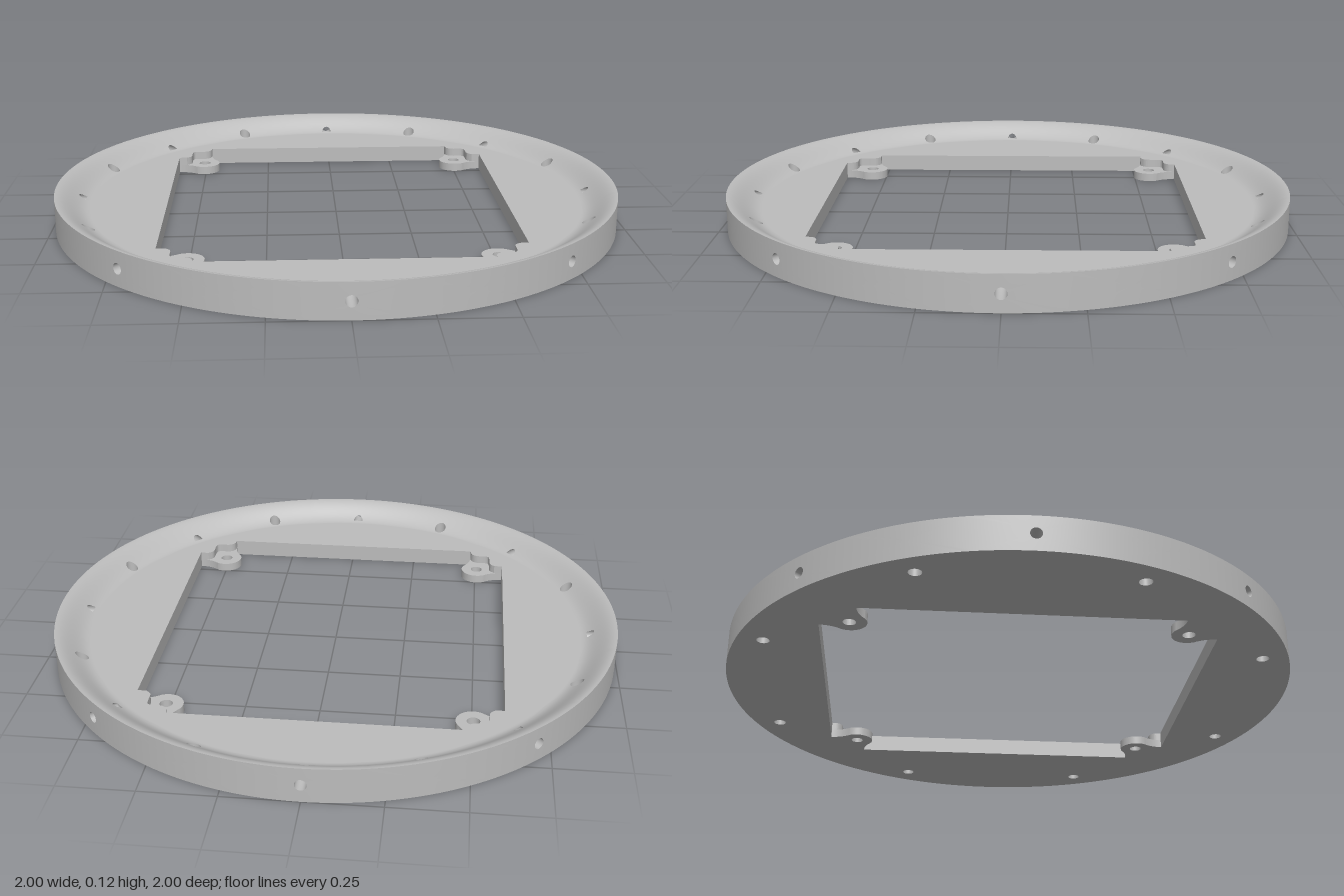
import * as THREE from 'three';
import { mergeGeometries, mergeVertices } from 'three/addons/utils/BufferGeometryUtils.js';

const FLOOR = 0.06, HEIGHT = 0.12, R_IN = 0.88, SECTORS = 16, SIDE = 16;
const PIN_R = 0.019, PIN_END = 0.9, BOLT_R = 0.022, BOLT_AT = 0.914;

// Height of the dished rim at radius r, and its inverse
const rimY = r => FLOOR + (HEIGHT - FLOOR) * THREE.MathUtils.smoothstep(r, R_IN, 1);
function rimR(y) {
  let lo = R_IN, hi = 1;
  for (let i = 0; i < 30; i++) {
    const mid = (lo + hi) / 2;
    if (rimY(mid) < y) lo = mid; else hi = mid;
  }
  return lo;
}

// Points round the edge of a square from -1 to 1, anticlockwise
const square = [];
for (let k = 0; k < 4; k++) {
  for (let i = 0; i < SIDE; i++) {
    const p = new THREE.Vector2(1, -1 + 2 * i / SIDE);
    for (let n = 0; n < k; n++) p.set(-p.y, p.x);
    square.push(p);
  }
}
const angles = square.map(p => Math.atan2(p.y, p.x));

// Surface through closed loops of points
function skin(loops) {
  const n = loops[0].length, index = [];
  for (let i = 0; i < loops.length - 1; i++) {
    for (let j = 0; j < n; j++) {
      const a = i * n + j, b = i * n + (j + 1) % n;
      index.push(a, a + n, b + n, a, b + n, b);
    }
  }
  const g = new THREE.BufferGeometry().setFromPoints(loops.flat());
  g.setIndex(index);
  return g;
}

// Curved patch between a hole outline and its sector's border; u is an angle
function patch(outline, centre, v0, v1, map) {
  const loops = [];
  for (let k = 0; k <= 10; k++) {
    loops.push(square.map((p, j) => {
      const o = outline(angles[j]), t = k / 10;
      const u = THREE.MathUtils.lerp(o[0], p.x * Math.PI / SECTORS, t);
      const v = THREE.MathUtils.lerp(o[1], v0 + (v1 - v0) * (p.y + 1) / 2, t);
      return map(centre + u, v);
    }));
  }
  return skin(loops);
}

function smoothMerge(list) {
  const g = mergeVertices(mergeGeometries(list), 1e-5);
  g.computeVertexNormals();
  return g;
}

const circle = (r, cx = 0, cy = 0, n = 32) => Array.from({ length: n }, (_, i) => {
  const a = i / n * Math.PI * 2;
  return new THREE.Vector2(cx + r * Math.cos(a), cy + r * Math.sin(a));
});

function plate(shape, depth) {
  return new THREE.ExtrudeGeometry(shape, { depth, bevelEnabled: false, curveSegments: 20 }).rotateX(-Math.PI / 2);
}

export function createModel() {
  const group = new THREE.Group();
  const grey = new THREE.MeshStandardMaterial({ color: 0xbcbcbc, side: THREE.DoubleSide });
  grey.name = 'grey';
  const add = (name, geometry) => {
    const mesh = new THREE.Mesh(geometry, grey);
    mesh.name = name;
    group.add(mesh);
  };

  // Rim top and outer wall, one sector at a time
  const tops = [], walls = [], bolts = [], pins = [];
  const topMap = (t, r) => new THREE.Vector3(r * Math.cos(t), rimY(r), r * Math.sin(t));
  const wallMap = (t, y) => new THREE.Vector3(Math.cos(t), y, -Math.sin(t));
  const slotR = a => Math.max(PIN_END, Math.sin(a) > 0 ? rimR(FLOOR + PIN_R * Math.sin(a)) : 0);
  const boltCentres = [];
  for (let s = 0; s < SECTORS; s++) {
    const c = s * Math.PI * 2 / SECTORS, hasPin = s % 2 === 0;
    const at = (x, y, r) => new THREE.Vector3(
      r * Math.cos(c) - x * Math.sin(c), y, r * Math.sin(c) + x * Math.cos(c));
    const topHole = a => {
      const x = (hasPin ? PIN_R : BOLT_R) * Math.cos(a);
      const r = hasPin ? slotR(a) : BOLT_AT + BOLT_R * Math.sin(a);
      return [Math.atan2(x, r), Math.hypot(x, r)];
    };
    const wallHole = a => hasPin
      ? [Math.asin(PIN_R * Math.cos(a)), FLOOR + PIN_R * Math.sin(a)] : [0, FLOOR];
    tops.push(patch(topHole, c, R_IN, 1, topMap));
    walls.push(patch(wallHole, c, 0, HEIGHT, wallMap));

    if (hasPin) {
      // Blind radial hole that breaks out through the dished rim
      const loop = (f, k = 1) => angles.map(a => {
        const x = PIN_R * Math.cos(a) * k, y = FLOOR + PIN_R * Math.sin(a) * k;
        return at(x, y, f(a, x));
      });
      pins.push(skin([loop((a, x) => Math.sqrt(1 - x * x)), loop(slotR)]));
      const end = k => loop(() => PIN_END, k).map(p => p.setY(Math.min(p.y, rimY(PIN_END))));
      pins.push(skin([end(1), end(0)]));
    } else {
      // Vertical bolt hole
      const centre = at(0, 0, BOLT_AT);
      boltCentres.push(centre);
      const loop = top => angles.map(a => {
        const p = at(BOLT_R * Math.cos(a), 0, BOLT_AT + BOLT_R * Math.sin(a));
        return top ? p.setY(rimY(Math.hypot(p.x, p.z))) : p;
      });
      bolts.push(skin([loop(true), loop(false)]));
    }
  }
  add('dishedRim', smoothMerge(tops));
  add('outerWall', smoothMerge(walls));
  add('radialHoles', smoothMerge(pins));
  add('boltHoles', smoothMerge(bolts));

  // Underside of the rim
  const under = new THREE.Shape(circle(1, 0, 0, 256));
  under.holes.push(new THREE.Path(circle(R_IN, 0, 0, 256)));
  boltCentres.forEach(p => under.holes.push(new THREE.Path(circle(BOLT_R, p.x, p.z))));
  add('rimUnderside', new THREE.ShapeGeometry(under).rotateX(Math.PI / 2));

  // Flat floor with a rectangular opening and filled, wavy corners
  const wave = new THREE.SplineCurve([
    [0.575, 0.53], [0.557, 0.55], [0.555, 0.595], [0.545, 0.613], [0.505, 0.615], [0.485, 0.63], [0.48, 0.655],
  ].map(p => new THREE.Vector2(...p))).getPoints(30);
  const corner = [new THREE.Vector2(0.605, 0.53), ...wave];
  const signs = [[1, 1], [-1, 1], [-1, -1], [1, -1]];
  const opening = signs.flatMap(([sx, sy]) => {
    const pts = corner.map(p => new THREE.Vector2(p.x * sx, p.y * sy));
    return sx * sy > 0 ? pts : pts.reverse();
  });
  const floor = new THREE.Shape(circle(R_IN, 0, 0, 256));
  floor.holes.push(new THREE.Path(opening));
  add('floor', plate(floor, FLOOR));

  // Thin mounting tabs in the corners
  const tab = new THREE.Shape();
  tab.moveTo(0.605, 0.655);
  tab.lineTo(0.48, 0.655);
  tab.quadraticCurveTo(0.48, 0.615, 0.455, 0.584);
  tab.absarc(0.505, 0.555, 0.058, Math.PI * 5 / 6, Math.PI * 5 / 3, false);
  tab.quadraticCurveTo(0.565, 0.53, 0.605, 0.53);
  tab.closePath();
  const outline = tab.getPoints(20);
  for (const [sx, sy] of signs) {
    const shape = new THREE.Shape(outline.map(p => new THREE.Vector2(p.x * sx, p.y * sy)));
    shape.holes.push(new THREE.Path(circle(BOLT_R, 0.505 * sx, 0.555 * sy)));
    add('mountingTab', plate(shape, 0.03));
  }
  return group;
}
